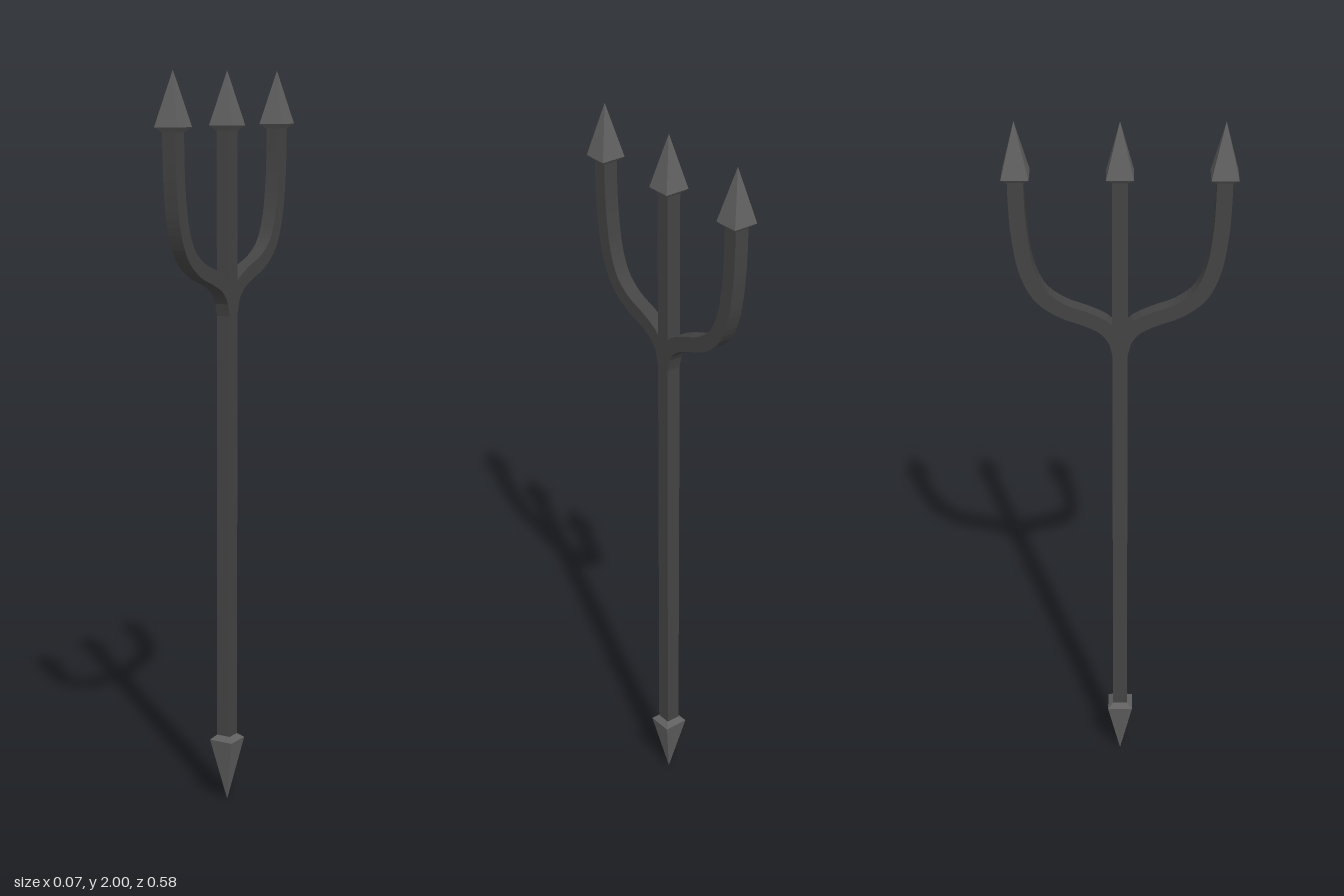
import * as THREE from 'three';

const HALF = 0.02;        // half width of the square bars
const HEAD_HALF = 0.0345; // half width of the spear heads
const SPREAD = 0.258;     // distance of the outer prongs from the shaft

const barMat = new THREE.MeshStandardMaterial({ color: 0x444444, flatShading: true });
const headMat = new THREE.MeshStandardMaterial({ color: 0x606060, flatShading: true });

// Four-sided spike, tip at the given height, with a short bevel back to the bar
function spearHead(name, length, z) {
  const bevel = 0.013;
  const r = Math.SQRT2;
  const profile = [
    [0, 0], [HALF * r, 0], [HEAD_HALF * r, bevel], [0, length],
  ].map(([x, y]) => new THREE.Vector2(x, y));
  const geo = new THREE.LatheGeometry(profile, 4).rotateY(Math.PI / 4);
  const mesh = new THREE.Mesh(geo, headMat);
  mesh.name = name;
  mesh.position.z = z;
  return mesh;
}

// Square bar swept along the curve of an outer prong
function prongGeometry() {
  const path = new THREE.CatmullRomCurve3([
    [0, 1.36], [0.012, 1.405], [0.04, 1.44], [0.085, 1.464], [0.15, 1.49],
    [0.203, 1.532], [0.235, 1.6], [0.252, 1.7], [0.257, 1.78], [SPREAD, 1.86],
  ].map(([z, y]) => new THREE.Vector3(0, y, z)));
  const section = new THREE.Shape([
    [-HALF, -HALF], [HALF, -HALF], [HALF, HALF], [-HALF, HALF],
  ].map(([x, y]) => new THREE.Vector2(x, y)));
  return new THREE.ExtrudeGeometry(section, { steps: 32, extrudePath: path, bevelEnabled: false });
}

export function createModel() {
  const model = new THREE.Group();
  model.name = 'trident';

  // Straight shaft, running up into the middle prong
  const low = 0.18, high = 1.86;
  const shaft = new THREE.Mesh(new THREE.BoxGeometry(HALF * 2, high - low, HALF * 2), barMat);
  shaft.name = 'shaft';
  shaft.position.y = (low + high) / 2;
  model.add(shaft);

  // Two curved outer prongs, front and back
  const prongGeo = prongGeometry();
  for (const [name, turn] of [['frontProng', 0], ['backProng', Math.PI]]) {
    const prong = new THREE.Mesh(prongGeo, barMat);
    prong.name = name;
    prong.rotation.y = turn;
    model.add(prong);
  }

  // Heads on the three prongs
  for (const [name, z] of [['frontHead', SPREAD], ['middleHead', 0], ['backHead', -SPREAD]]) {
    const head = spearHead(name, 0.155, z);
    head.position.y = 1.845;
    model.add(head);
  }

  // Longer spike at the foot, pointing down
  const foot = spearHead('footSpike', 0.19, 0);
  foot.rotation.x = Math.PI;
  foot.position.y = 0.19;
  model.add(foot);

  return model;
}
